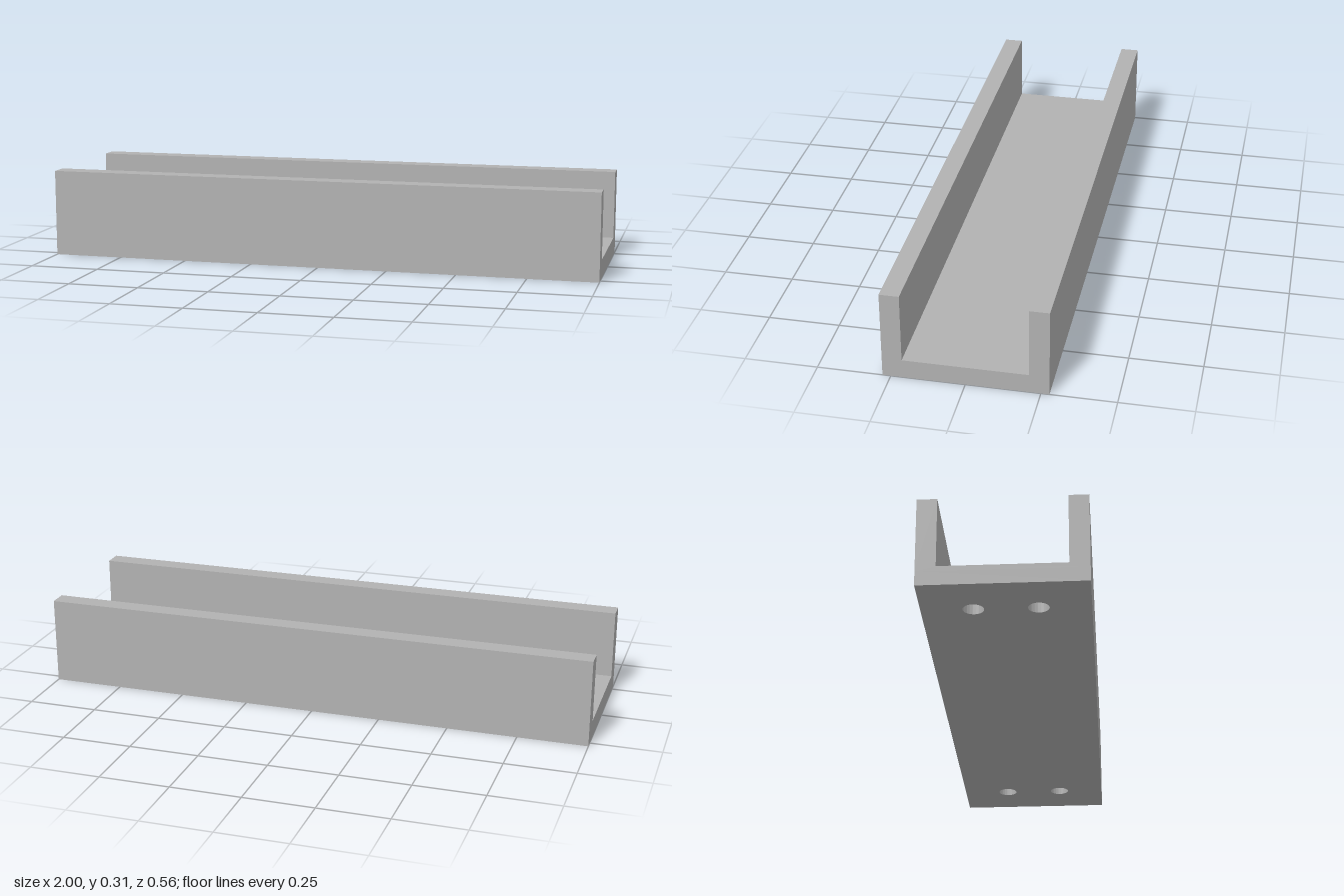
import * as THREE from 'three';
import { toCreasedNormals } from 'three/addons/utils/BufferGeometryUtils.js';

const LENGTH = 2, HALF_WIDTH = 0.278, HEIGHT = 0.3125, WALL = 0.067;
const HOLE = { radius: 0.035, depth: 0.05, x: 0.825, z: 0.106 };

export function createModel() {
  const group = new THREE.Group();
  group.name = 'channel';
  const grey = new THREE.MeshStandardMaterial({ color: 0xb2b2b2 });
  grey.name = 'grey';

  const add = (name, geometry) => {
    const mesh = new THREE.Mesh(geometry, grey);
    mesh.name = name;
    group.add(mesh);
  };

  // U-shaped channel body, drawn in section and extruded along x
  const inner = HALF_WIDTH - WALL;
  const section = new THREE.Shape([
    [-HALF_WIDTH, HOLE.depth], [HALF_WIDTH, HOLE.depth], [HALF_WIDTH, HEIGHT], [inner, HEIGHT],
    [inner, WALL], [-inner, WALL], [-inner, HEIGHT], [-HALF_WIDTH, HEIGHT],
  ].map(([z, y]) => new THREE.Vector2(z, y)));
  const body = new THREE.ExtrudeGeometry(section, { depth: LENGTH, bevelEnabled: false });
  body.translate(0, 0, -LENGTH / 2).rotateY(Math.PI / 2);
  add('channelBody', body);

  // Underside layer with four blind mounting holes, closed by the body above
  const half = LENGTH / 2;
  const outline = new THREE.Shape([
    new THREE.Vector2(-half, -HALF_WIDTH), new THREE.Vector2(half, -HALF_WIDTH),
    new THREE.Vector2(half, HALF_WIDTH), new THREE.Vector2(-half, HALF_WIDTH),
  ]);
  for (const sx of [-1, 1]) {
    for (const sz of [-1, 1]) {
      const hole = new THREE.Path();
      hole.absarc(sx * HOLE.x, sz * HOLE.z, HOLE.radius, 0, Math.PI * 2, true);
      outline.holes.push(hole);
    }
  }
  const base = new THREE.ExtrudeGeometry(outline, { depth: HOLE.depth, bevelEnabled: false, curveSegments: 32 });
  base.rotateX(-Math.PI / 2);
  add('drilledBase', toCreasedNormals(base, 0.5));

  return group;
}
